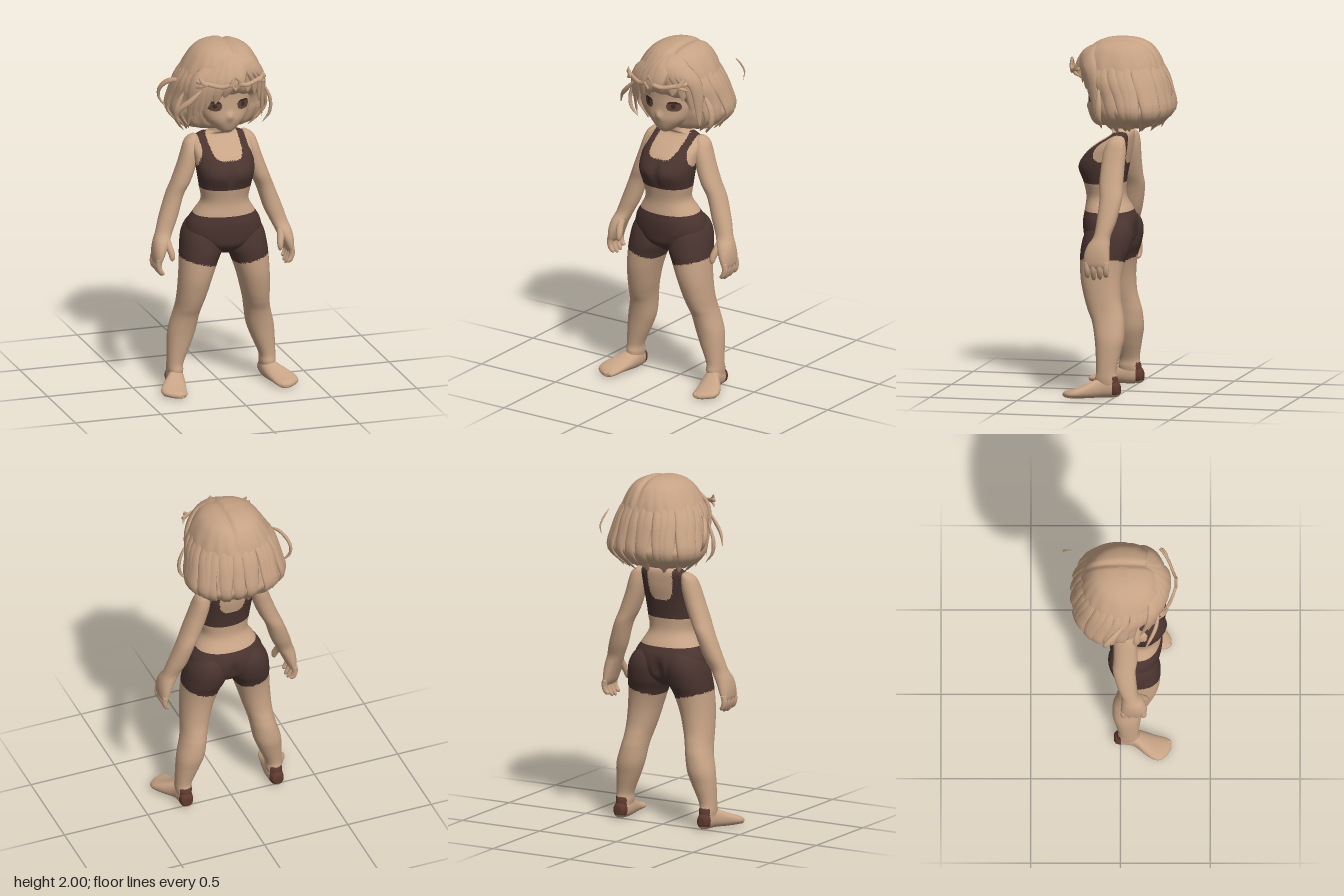
import * as THREE from 'three';

const flat = (name, color) => Object.assign(new THREE.MeshStandardMaterial({ color }), { name });
const skin = flat('skin', 0xc8a486);
const hair = flat('hair', 0xc6a284);
const cloth = flat('dark cloth', 0x4a342f);
const iris = flat('iris', 0x5f4337);
const pupil = flat('pupil', 0x3c2822);
const heelBrown = flat('heel brown', 0x5e3a2e);

// Closed surface from rows of points; both ends are closed to a point.
function surface(rows) {
  const n = rows[0].length, pos = [], idx = [];
  const mid = (r) => r.reduce((s, p) => s.add(p), new THREE.Vector3()).divideScalar(n);
  rows.forEach((r) => r.forEach((p) => pos.push(p.x, p.y, p.z)));
  for (let i = 0; i < rows.length - 1; i++) for (let j = 0; j < n; j++) {
    const k = (j + 1) % n, a = i * n + j, b = i * n + k;
    idx.push(a, b, a + n, b, b + n, a + n);
  }
  const first = rows.length * n, top = (rows.length - 1) * n;
  for (const p of [mid(rows[0]), mid(rows[rows.length - 1])]) pos.push(p.x, p.y, p.z);
  for (let j = 0; j < n; j++) {
    const k = (j + 1) % n;
    idx.push(first, k, j, first + 1, top + j, top + k);
  }
  const g = new THREE.BufferGeometry();
  g.setAttribute('position', new THREE.Float32BufferAttribute(pos, 3));
  g.setIndex(idx);
  g.computeVertexNormals();
  return g;
}

// Ring = [height, x min, x max, z min, z max]; angle 0 faces the front.
function onRing([y, x0, x1, z0, z1], a) {
  const pw = (v) => Math.sign(v) * Math.abs(v) ** 0.92;
  return new THREE.Vector3((x0 + x1) / 2 + ((x1 - x0) / 2) * pw(Math.sin(a)), y,
    (z0 + z1) / 2 + ((z1 - z0) / 2) * pw(Math.cos(a)));
}

// Smooth surface through a list of rings.
function loft(rings, around, steps, warp) {
  const rows = [], last = rings.length - 1;
  for (let s = 0; s <= last * steps; s++) {
    const i = Math.min(Math.floor(s / steps), last - 1), t = s / steps - i;
    const r = (k) => rings[Math.min(Math.max(i + k, 0), last)];
    const ring = r(0).map((b, c) => {
      const a = r(-1)[c], d = r(1)[c], e = r(2)[c];
      return b + 0.5 * t * (d - a + t * (2 * a - 5 * b + 4 * d - e + t * (3 * (b - d) + e - a)));
    });
    rows.push(Array.from({ length: around }, (_, j) => {
      const ang = (j / around) * Math.PI * 2, p = onRing(ring, ang);
      if (warp) warp(p, ang);
      return p;
    }));
  }
  return surface(rows);
}
const symmetric = (rings) => rings.map(([y, w, z0, z1]) => [y, -w, w, z0, z1]);

// Flat tapering strand along points, its width lying across the direction from "centre".
function strand(points, width, thick, taper, centre = new THREE.Vector3(0, 1.7, 0)) {
  const curve = new THREE.CatmullRomCurve3(points.map((p) => (p.isVector3 ? p : new THREE.Vector3(...p))));
  const rows = [], n = 16;
  for (let i = 0; i <= n; i++) {
    const p = curve.getPoint(i / n), T = curve.getTangent(i / n), k = taper(i / n);
    const N = p.clone().sub(centre);
    N.addScaledVector(T, -N.dot(T)).normalize();
    const B = N.clone().cross(T);
    rows.push(Array.from({ length: 10 }, (_, j) => p.clone()
      .addScaledVector(B, Math.cos(j * Math.PI / 5) * width * k)
      .addScaledVector(N, Math.sin(j * Math.PI / 5) * thick * k)));
  }
  return surface(rows);
}
const pointed = (t) => 0.05 + 0.95 * Math.sin(Math.PI * t ** 0.8) ** 0.7;
const rounded = (t) => Math.max(0.15, (1 - 0.25 * t) * Math.sqrt(Math.max(0, 1 - t ** 8)));

// Sort triangles into material groups by a rule on their middle.
function paint(g, rule, count) {
  const p = g.attributes.position, src = g.index.array, sets = Array.from({ length: count }, () => []);
  const mid = (i, m) => (m.call(p, src[i]) + m.call(p, src[i + 1]) + m.call(p, src[i + 2])) / 3;
  for (let i = 0; i < src.length; i += 3)
    sets[rule(mid(i, p.getX), mid(i, p.getY), mid(i, p.getZ))].push(src[i], src[i + 1], src[i + 2]);
  let start = 0;
  sets.forEach((s, m) => { g.addGroup(start, s.length, m); start += s.length; });
  g.setIndex(sets.flat());
  return g;
}

function mirrored(g) {
  const m = g.clone().scale(-1, 1, 1), ix = m.index.array;
  for (let i = 0; i < ix.length; i += 3) [ix[i + 1], ix[i + 2]] = [ix[i + 2], ix[i + 1]];
  m.computeVertexNormals();
  return m;
}

export function createModel() {
  const model = new THREE.Group();
  model.name = 'figure';
  const add = (name, g, mat) => {
    const m = new THREE.Mesh(g, mat);
    m.name = name;
    model.add(m);
  };
  const pair = (name, g, mat) => {
    add('left' + name, g, mat);
    add('right' + name, mirrored(g), mat);
  };

  // Torso with cropped top, bare waist and upper shorts
  const torso = loft(symmetric([
    [0.79, 0.05, 0.03, 0.15], [0.84, 0.15, -0.035, 0.215], [0.9, 0.212, -0.06, 0.23], [0.97, 0.207, -0.06, 0.234],
    [1.03, 0.172, -0.035, 0.226], [1.1, 0.135, 0, 0.22], [1.18, 0.147, 0, 0.235], [1.27, 0.162, -0.015, 0.264],
    [1.35, 0.168, -0.032, 0.215], [1.4, 0.17, -0.038, 0.155], [1.44, 0.158, -0.04, 0.09], [1.463, 0.122, -0.036, 0.068],
    [1.48, 0.062, -0.025, 0.082], [1.53, 0.052, -0.018, 0.085], [1.6, 0.052, -0.018, 0.085]]), 120, 9, (p) => {
    if (p.z > 0.1) p.z -= 0.016 * Math.exp(-((p.x / 0.03) ** 2) - ((p.y - 1.27) / 0.06) ** 2);
    if (p.z < 0) p.z += 0.02 * Math.exp(-((p.x / 0.025) ** 2) - ((p.y - 0.89) / 0.06) ** 2);
  });
  add('torso', paint(torso, (x, y, z) => {
    const w = Math.abs(x);
    if (y < 1.025) return 1;
    if (y < 1.18 || y > 1.472) return 0;
    const front = z > 0.03;
    const scoop = (w / (front ? 0.092 : 0.08)) ** 4 + ((1.48 - y) / (front ? 0.135 : 0.19)) ** 4 < 1;
    return scoop || (y > 1.31 && w > 0.134 + 0.35 * Math.max(0, 1.4 - y)) ? 0 : 1;
  }, 2), [skin, cloth]);

  // Legs with the shorts' lower part
  const leg = loft([
    [0.03, 0.24, 0.305, -0.025, 0.09], [0.1, 0.226, 0.315, -0.022, 0.108], [0.15, 0.222, 0.315, -0.012, 0.102],
    [0.25, 0.18, 0.312, -0.03, 0.11], [0.33, 0.152, 0.305, -0.045, 0.12], [0.42, 0.137, 0.282, -0.042, 0.14],
    [0.48, 0.125, 0.27, -0.03, 0.166], [0.55, 0.105, 0.265, -0.016, 0.19], [0.65, 0.077, 0.26, -0.015, 0.214],
    [0.75, 0.042, 0.254, -0.03, 0.222], [0.82, 0.012, 0.248, -0.055, 0.222], [0.9, 0.006, 0.234, -0.069, 0.205],
    [0.96, 0.02, 0.203, -0.056, 0.17], [1.0, 0.06, 0.155, -0.02, 0.12]], 56, 8);
  pair('Leg', paint(leg, (x, y, z) => (y > 0.712 + 0.25 * x ? 1 : y < 0.125 && z < 0.002 ? 2 : 0), 3), [skin, cloth, heelBrown]);

  // Feet, swept from heel to rounded toes
  const foot = loft([
    [-0.035, 0.252, 0.29, -0.075, -0.025], [-0.02, 0.236, 0.308, -0.095, -0.01], [0.03, 0.228, 0.313, -0.115, -0.004],
    [0.08, 0.228, 0.325, -0.112, -0.003], [0.14, 0.238, 0.37, -0.086, -0.002], [0.19, 0.25, 0.397, -0.064, -0.002],
    [0.23, 0.258, 0.393, -0.05, -0.002], [0.26, 0.266, 0.365, -0.042, -0.003], [0.275, 0.275, 0.34, -0.034, -0.005],
    [0.284, 0.288, 0.32, -0.026, -0.01]], 36, 6).rotateX(Math.PI / 2);
  pair('Foot', paint(foot, (x, y, z) => (z < 0.002 && y > 0.025 ? 1 : 0), 2), [skin, heelBrown]);
  for (let i = 0; i < 5; i++) {
    const r = 0.017 - i * 0.0012;
    pair('Toe' + (i + 1), new THREE.SphereGeometry(r, 14, 10).scale(1, 0.9, 1.4)
      .translate(0.29 + i * 0.0225, 0.006 + r, 0.262 - 0.0022 * i * (i + 1)), skin);
  }

  // Arms and palms
  pair('Arm', loft([
    [0.745, 0.375, 0.4, 0.02, 0.13], [0.77, 0.358, 0.409, 0.003, 0.145], [0.82, 0.335, 0.41, 0.002, 0.146],
    [0.87, 0.312, 0.402, 0.005, 0.13], [0.92, 0.288, 0.384, 0.005, 0.1], [1, 0.252, 0.359, -0.02, 0.09],
    [1.12, 0.215, 0.315, -0.043, 0.084], [1.2, 0.176, 0.283, -0.04, 0.094], [1.3, 0.14, 0.246, -0.04, 0.092],
    [1.37, 0.125, 0.223, -0.042, 0.085], [1.42, 0.122, 0.205, -0.037, 0.066], [1.445, 0.126, 0.182, -0.028, 0.045],
    [1.457, 0.135, 0.16, -0.012, 0.025]], 32, 6), skin);
  for (let i = 0; i < 4; i++) {
    const z = 0.018 + i * 0.036, low = [0.7, 0.68, 0.675, 0.69][i];
    pair('Finger' + (i + 1), strand([[0.385, 0.78, z], [0.39, 0.74, z], [0.38, 0.71, z + 0.002], [0.36, low, z + 0.004]],
      0.019, 0.018, rounded, new THREE.Vector3(0, 0.75, z)), skin);
  }
  pair('Thumb', strand([[0.335, 0.9, 0.075], [0.328, 0.85, 0.115], [0.318, 0.81, 0.138], [0.316, 0.77, 0.148]],
    0.023, 0.022, rounded, new THREE.Vector3(0, 0.8, 0)), skin);

  // Head with painted eyes
  const head = loft(symmetric([
    [1.498, 0.025, 0.1, 0.168], [1.525, 0.066, 0.03, 0.192], [1.58, 0.124, -0.05, 0.21], [1.64, 0.155, -0.1, 0.208],
    [1.7, 0.165, -0.13, 0.208], [1.8, 0.17, -0.14, 0.205], [1.9, 0.12, -0.1, 0.15], [1.95, 0.05, -0.03, 0.08]]), 160, 16, (p) => {
    if (p.z > 0.1) p.z += 0.013 * Math.exp(-((p.x / 0.02) ** 2) - ((p.y - 1.605) / 0.025) ** 2);
  });
  add('head', paint(head, (x, y, z) => {
    const u = (Math.abs(x) - 0.083) / 0.038, v = (y - 1.667) / 0.029;
    if (z < 0.05 || Math.abs(u) ** 2.5 + Math.abs(v) ** 2.5 > 1) return 0;
    return v > 0.5 || u * u * 5 + v * v * 2.2 < 0.5 ? 2 : 1;
  }, 3), [skin, iris, pupil]);
  pair('Ear', new THREE.SphereGeometry(0.035, 16, 12).scale(0.5, 1, 0.8).translate(0.163, 1.65, 0.03), skin);

  // Bobbed hair shell, turning in under the hem
  const bob = [
    [1.6, -0.07, 0.07, -0.07, 0.04], [1.54, -0.12, 0.12, -0.11, 0.06], [1.505, -0.17, 0.17, -0.15, 0.085],
    [1.535, -0.232, 0.236, -0.218, 0.118], [1.6, -0.276, 0.282, -0.268, 0.14], [1.65, -0.27, 0.276, -0.264, 0.15],
    [1.7, -0.26, 0.265, -0.252, 0.172], [1.75, -0.248, 0.252, -0.238, 0.222], [1.8, -0.235, 0.238, -0.225, 0.238],
    [1.88, -0.198, 0.21, -0.2, 0.232], [1.95, -0.148, 0.165, -0.155, 0.185], [1.985, -0.09, 0.1, -0.095, 0.12],
    [1.998, -0.03, 0.03, -0.03, 0.05]];
  add('hairShell', loft(bob, 120, 6, (p, a) => {
    const k = 1 + 0.016 * Math.sin(19 * a + 3 * Math.sin(2 * a) + 4 * p.y) * Math.min(1, (2 - p.y) * 4);
    p.x *= k;
    p.z *= k;
    if (p.y > 1.85) p.y -= 0.014 * Math.exp(-(((p.x - 0.05) / 0.018) ** 2));
  }), hair);

  // Overlapping locks around the sides and back, tucked in at uneven tips
  for (let i = 0; i < 25; i++) {
    const a = 0.95 + (i / 24) * (Math.PI * 2 - 1.9), sway = 0.07 * Math.sin(i * 2.3);
    const pts = [10, 8, 6, 4, 3].map((r, k) => onRing(bob[r], a + sway * k / 2));
    pts[0].multiply(new THREE.Vector3(0.93, 0.995, 0.93));
    const inward = 0.84 + 0.1 * Math.sin(i * 5.3);
    const tip = onRing(bob[3], a + sway * 2.4).multiply(new THREE.Vector3(inward, 1, inward));
    tip.y = 1.43 + 0.08 * inward + 0.012 * Math.sin(i * 4.1);
    add('hairLock' + i, strand([...pts, tip], 0.036, 0.013, pointed), hair);
  }

  // Fringe swept from the parting, heavier on the right
  [[-0.215, 1.54, 0.11], [-0.195, 1.585, 0.155], [-0.17, 1.625, 0.19], [-0.14, 1.665, 0.215], [-0.095, 1.695, 0.236],
    [-0.045, 1.73, 0.248], [0.015, 1.755, 0.252], [0.1, 1.745, 0.224], [0.15, 1.715, 0.19], [0.188, 1.66, 0.155],
    [0.215, 1.56, 0.12]].forEach(([x, y, z], i) => {
    const bulge = x < 0.05 ? 0.268 : 0.235;
    add('fringe' + i, strand([[0.045 + x * 0.15, 1.965, 0.14], [0.035 + x * 0.45, 1.9, 0.228 - x * x],
      [0.01 + x * 0.9, 1.81, bulge - x * x * 1.9], [x, y, z]], 0.05, 0.018, pointed), hair);
  });

  // Loose wisps
  add('sideCurl', strand([[-0.23, 1.79, 0.03], [-0.285, 1.775, -0.02], [-0.322, 1.715, -0.075], [-0.32, 1.66, -0.085], [-0.28, 1.6, -0.06]],
    0.018, 0.01, pointed), hair);
  add('frontWisp', strand([[-0.16, 1.78, 0.215], [-0.23, 1.71, 0.195], [-0.28, 1.66, 0.165], [-0.305, 1.6, 0.14]], 0.016, 0.01, pointed), hair);
  add('backWisp', strand([[0.185, 1.84, -0.27], [0.2, 1.8, -0.3], [0.213, 1.75, -0.32], [0.21, 1.7, -0.312]], 0.006, 0.005, pointed), hair);
  pair('CheekWisp', strand([[0.235, 1.74, 0.1], [0.275, 1.64, 0.09], [0.27, 1.57, 0.09], [0.23, 1.51, 0.08]], 0.02, 0.01, pointed), hair);

  // Circlet: two bands, small wings and an open diamond
  pair('CircletBand', strand([[0.02, 1.825, 0.31], [0.07, 1.81, 0.292], [0.13, 1.82, 0.268], [0.2, 1.835, 0.222]], 0.012, 0.008, () => 1), hair);
  pair('CircletWing', strand([[0.14, 1.815, 0.265], [0.17, 1.83, 0.252], [0.19, 1.865, 0.235]], 0.014, 0.008, pointed), hair);
  pair('CircletTip', strand([[0.15, 1.82, 0.262], [0.18, 1.81, 0.245], [0.205, 1.795, 0.215]], 0.011, 0.007, pointed), hair);
  add('circletDiamond', new THREE.TorusGeometry(0.034, 0.009, 6, 4).scale(0.85, 1.1, 1).translate(0, 1.828, 0.308), hair);
  return model;
}
